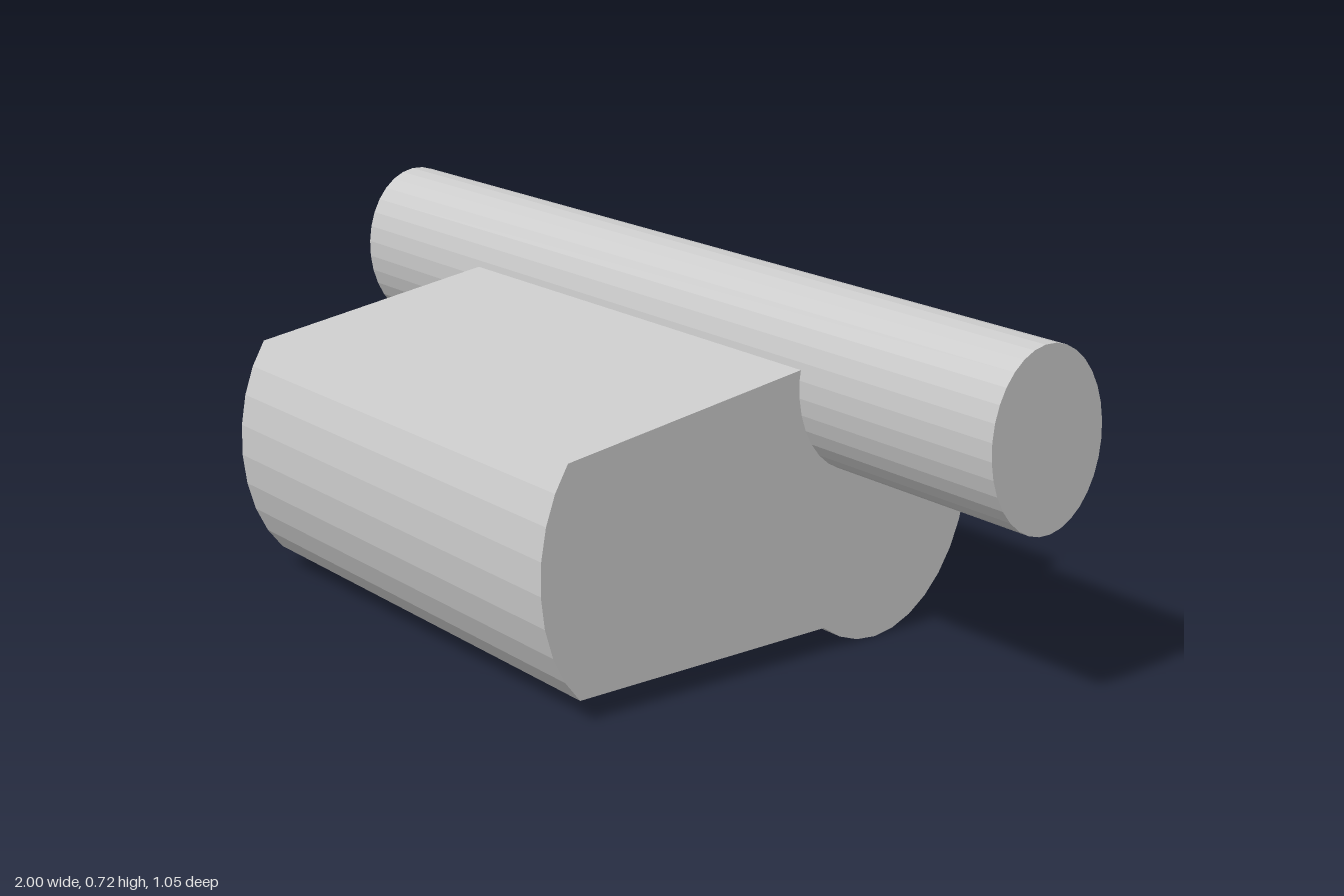
import * as THREE from 'three';

// Points (z, y) along an elliptical arc, optionally tilted
function arc(cz, cy, rz, ry, from, to, steps, tilt = 0) {
  const points = [];
  for (let i = 0; i <= steps; i++) {
    const a = from + (to - from) * i / steps;
    const p = new THREE.Vector2(rz * Math.cos(a), ry * Math.sin(a));
    p.rotateAround(new THREE.Vector2(), tilt);
    points.push(new THREE.Vector2(cz + p.x, cy + p.y));
  }
  return points;
}

// Extrude a side profile across the width from x0 to x1
function prism(name, profile, x0, x1, material) {
  const shape = new THREE.Shape(profile.map(p => new THREE.Vector2(-p.x, p.y)));
  const geometry = new THREE.ExtrudeGeometry(shape, { depth: x1 - x0, bevelEnabled: false });
  geometry.rotateY(Math.PI / 2).translate(x0, 0, 0);
  const mesh = new THREE.Mesh(geometry, material);
  mesh.name = name;
  return mesh;
}

export function createModel() {
  const group = new THREE.Group();
  group.name = 'crossbarBlock';
  const material = new THREE.MeshStandardMaterial({ color: 0xcccccc, flatShading: true });

  // Body: curved nose, flat sloping top and bottom, bulging rear
  const body = [
    ...arc(0.32, 0.29, 0.205, 0.297, -0.954, 0.795, 8),
    ...arc(-0.28, 0.322, 0.245, 0.32, 1.011, 2 * Math.PI - 1.011, 22),
  ];
  group.add(prism('body', body, -0.56, 0.5, material));

  // Long oval bar lying across the top
  const bar = arc(-0.211, 0.541, 0.138, 0.178, 0, 2 * Math.PI, 32, -0.1).slice(0, -1);
  group.add(prism('crossbar', bar, -1, 1, material));

  return group;
}
